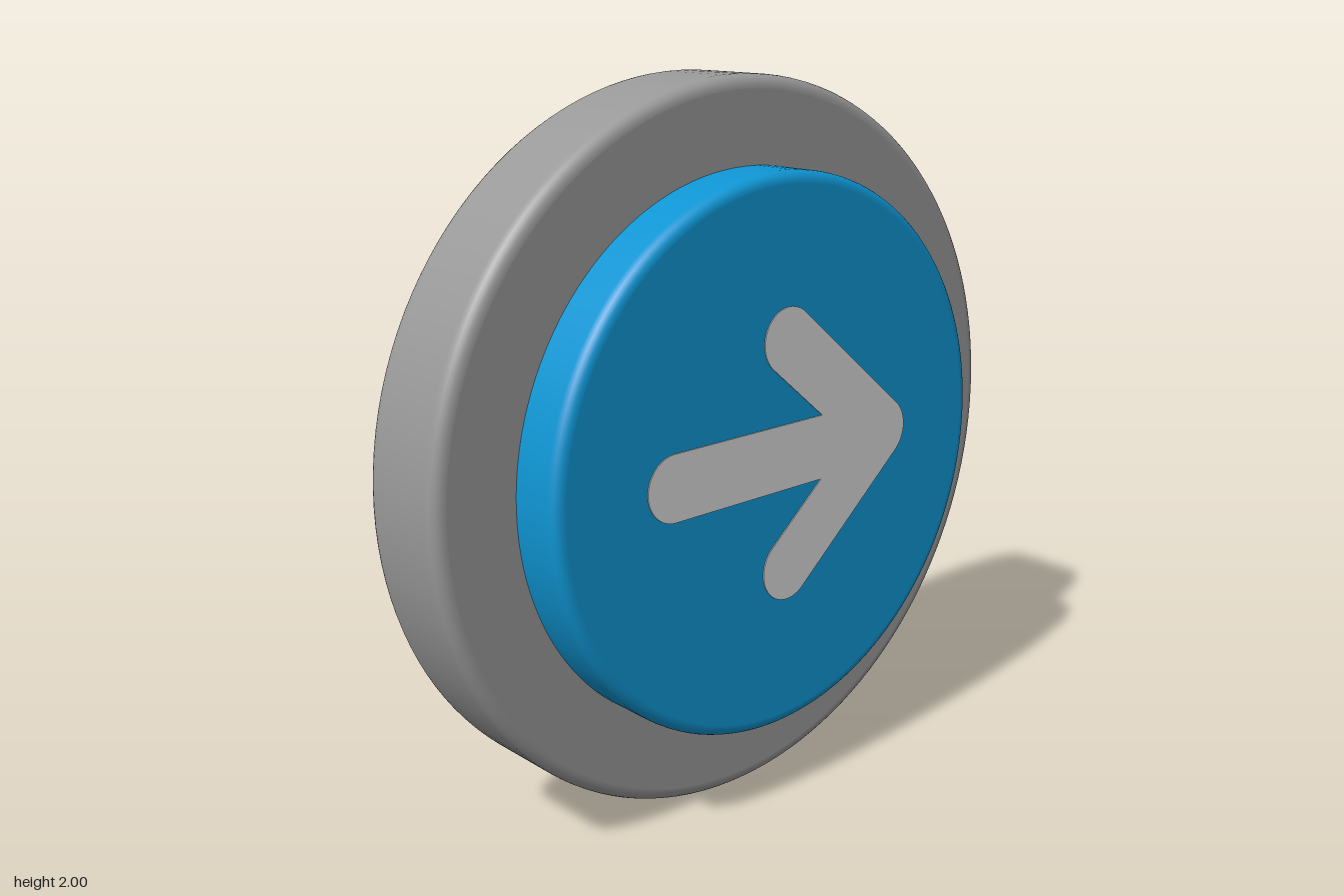
import * as THREE from 'three';

const material = (name, color) => {
  const m = new THREE.MeshStandardMaterial({ color });
  m.name = name;
  return m;
};

// Disc facing +z with rounded rims, from z0 (back) to z1 (front)
function roundedDisc(radius, z0, z1, bevel) {
  const points = [new THREE.Vector2(0, z0), new THREE.Vector2(radius - bevel - 0.003, z0)];
  const rim = (z, from) => {
    for (let i = 0; i <= 6; i++) {
      const a = from + (i / 6) * Math.PI / 2;
      points.push(new THREE.Vector2(radius - bevel + bevel * Math.cos(a), z + bevel * Math.sin(a)));
    }
  };
  rim(z0 + bevel, -Math.PI / 2);
  points.push(new THREE.Vector2(radius, z0 + bevel + 0.003), new THREE.Vector2(radius, z1 - bevel - 0.003));
  rim(z1 - bevel, 0);
  points.push(new THREE.Vector2(radius - bevel - 0.003, z1), new THREE.Vector2(0, z1));
  return new THREE.LatheGeometry(points, 128).rotateX(Math.PI / 2);
}

// Round-ended arrow pointing to +x
function arrowShape() {
  const r = 0.09, tipX = 0.385, armX = 0.01, armY = 0.315, tailX = -0.39;
  const a = Math.atan2(tipX - armX, armY); // outward normal of the upper arm
  // where the inner edge of an arm meets the shaft
  const innerX = tipX - r * (1 + 1 / Math.sin(a)) * Math.tan(a);
  const s = new THREE.Shape();
  s.absarc(tipX, 0, r, -a, a, false);
  s.absarc(armX, armY, r, a, a + Math.PI, false);
  s.lineTo(innerX, r);
  s.absarc(tailX, 0, r, Math.PI / 2, Math.PI * 1.5, false);
  s.lineTo(innerX, -r);
  s.absarc(armX, -armY, r, Math.PI - a, Math.PI * 2 - a, false);
  s.closePath();
  return s;
}

export function createModel() {
  const group = new THREE.Group();
  group.name = 'arrowButton';
  const add = (name, geometry, mat, y, z = 0) => {
    const mesh = new THREE.Mesh(geometry, mat);
    mesh.name = name;
    mesh.position.set(0, y, z);
    group.add(mesh);
  };

  // Base and raised cap
  add('base', roundedDisc(1, -0.22, 0.065, 0.035), material('grey', 0x999999), 1);
  add('cap', roundedDisc(0.765, 0, 0.217, 0.03), material('blue', 0x0f95d3), 1.003);

  // Arrow painted on the cap
  const arrow = new THREE.ExtrudeGeometry(arrowShape(), { depth: 0.004, bevelEnabled: false, curveSegments: 20 });
  add('arrow', arrow, material('lightGrey', 0xd8d8d8), 1.015, 0.216);

  return group;
}
